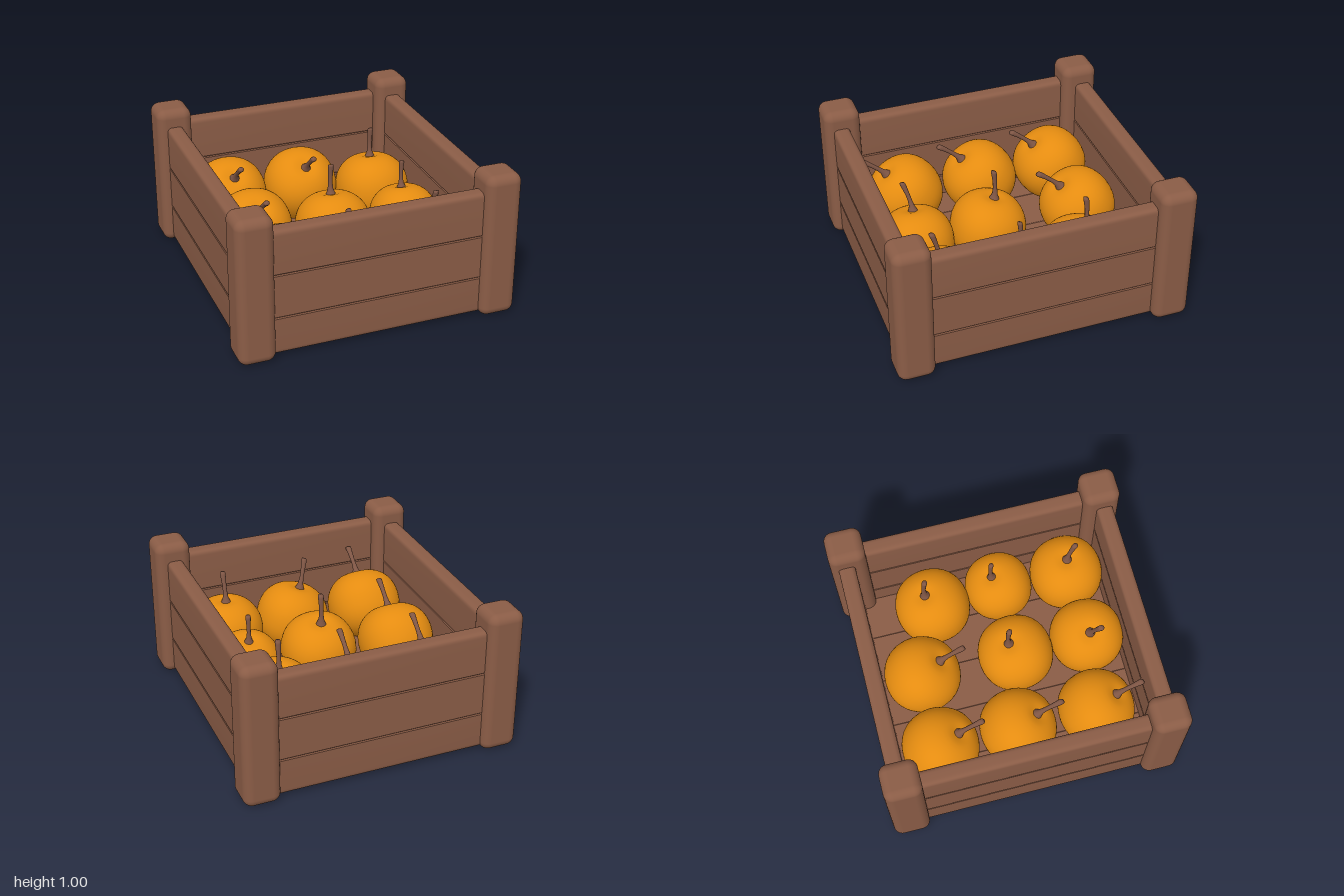
import * as THREE from 'three';
import { mergeVertices, toCreasedNormals } from 'three/addons/utils/BufferGeometryUtils.js';
import { RoundedBoxGeometry } from 'three/addons/geometries/RoundedBoxGeometry.js';

const wood = new THREE.MeshStandardMaterial({ color: 0x8a5c46 });
const skin = new THREE.MeshStandardMaterial({ color: 0xe58c10 });
const stalk = new THREE.MeshStandardMaterial({ color: 0x7f5645 });

function add(parent, name, geometry, material, x = 0, y = 0, z = 0) {
  const mesh = new THREE.Mesh(geometry, material);
  mesh.name = name;
  mesh.position.set(x, y, z);
  parent.add(mesh);
  return mesh;
}

// Wall section: rounded top and bottom, fine grooves between three planks
function wallGeometry(length) {
  const w = 0.056, r = 0.035, bottom = 0.02, top = 0.88, n = 0.007;
  const s = new THREE.Shape();
  s.moveTo(-w + r, bottom);
  s.lineTo(w - r, bottom);
  s.quadraticCurveTo(w, bottom, w, bottom + r);
  for (const y of [0.28, 0.58]) {
    s.lineTo(w, y - n);
    s.lineTo(w - n, y);
    s.lineTo(w, y + n);
  }
  s.lineTo(w, top - r);
  s.quadraticCurveTo(w, top, w - r, top);
  s.lineTo(-w + r, top);
  s.quadraticCurveTo(-w, top, -w, top - r);
  for (const y of [0.58, 0.28]) {
    s.lineTo(-w, y + n);
    s.lineTo(-w + n, y);
    s.lineTo(-w, y - n);
  }
  s.lineTo(-w, bottom + r);
  s.quadraticCurveTo(-w, bottom, -w + r, bottom);
  const g = new THREE.ExtrudeGeometry(s, { depth: length, bevelEnabled: false, curveSegments: 6 });
  g.translate(0, 0, -length / 2);
  return toCreasedNormals(g, 0.6);
}

// Squashed, slightly squarish ball with a dimple under the stalk
function pumpkinGeometry() {
  let g = new THREE.SphereGeometry(1, 40, 28);
  g.deleteAttribute('uv');
  g.deleteAttribute('normal');
  const p = g.attributes.position, v = new THREE.Vector3();
  for (let i = 0; i < p.count; i++) {
    v.fromBufferAttribute(p, i);
    const rho = Math.hypot(v.x, v.z), angle = Math.atan2(v.z, v.x);
    const radius = 0.26 * Math.pow(rho, 0.88) * (1 - 0.012 * Math.cos(4 * angle));
    const dimple = 0.025 * Math.exp(-Math.pow(radius / 0.06, 2));
    const y = Math.sign(v.y) * (0.24 * Math.pow(Math.abs(v.y), 0.92) - dimple * Math.abs(v.y));
    p.setXYZ(i, radius * Math.cos(angle), y, radius * Math.sin(angle));
  }
  g = mergeVertices(g, 1e-5);
  g.computeVertexNormals();
  return g;
}

// Flared stalk bending forward
function stalkGeometry() {
  const profile = [[0.042, -0.01], [0.03, 0.01], [0.019, 0.04], [0.015, 0.08], [0.015, 0.12],
    [0.017, 0.16], [0.02, 0.2], [0.018, 0.213], [0, 0.217]];
  const g = new THREE.LatheGeometry(profile.map(([x, y]) => new THREE.Vector2(x, y)), 14);
  const p = g.attributes.position;
  for (let i = 0; i < p.count; i++) {
    const t = Math.max(0, p.getY(i)) / 0.21;
    p.setZ(i, p.getZ(i) + 0.05 * Math.pow(t, 1.5));
  }
  g.computeVertexNormals();
  return g;
}

export function createModel() {
  const model = new THREE.Group();
  model.name = 'pumpkinCrate';

  // Corner posts
  const post = new RoundedBoxGeometry(0.245, 1, 0.25, 5, 0.06);
  for (const x of [-1, 1]) for (const z of [-1, 1]) {
    add(model, 'cornerPost', post, wood, x * 0.82, 0.5, z * 0.875);
  }

  // Walls
  const sideWall = wallGeometry(1.74), endWall = wallGeometry(1.62);
  add(model, 'rightWall', sideWall, wood, -0.823, 0, 0);
  add(model, 'leftWall', sideWall, wood, 0.814, 0, 0);
  add(model, 'frontWall', endWall, wood, 0, 0, 0.888).rotation.y = Math.PI / 2;
  add(model, 'backWall', endWall, wood, 0, 0, -0.892).rotation.y = Math.PI / 2;

  // Floor planks
  const seams = [-0.83, -0.535, -0.2, 0.135, 0.465, 0.82];
  for (let i = 0; i < seams.length - 1; i++) {
    const g = new RoundedBoxGeometry(seams[i + 1] - seams[i], 0.08, 1.74, 2, 0.006);
    add(model, 'floorPlank', g, wood, (seams[i] + seams[i + 1]) / 2, 0.08, 0);
  }

  // Pumpkins: x, y, z, forward tilt, sideways tilt, size
  const body = pumpkinGeometry(), stem = stalkGeometry();
  const layout = [
    [-0.505, 0.4, -0.565, 0.63, 0, 1],
    [-0.505, 0.4, -0.03, 0.63, 0, 1],
    [-0.505, 0.4, 0.515, 0.63, 0, 1],
    [0.02, 0.39, -0.565, 0.63, 0, 1],
    [0.02, 0.37, 0.09, -0.22, 0, 1],
    [0.02, 0.37, 0.595, 0, 0.28, 0.98],
    [0.5, 0.37, -0.38, -0.2, 0, 1],
    [0.535, 0.36, 0.1, -0.24, 0, 0.9],
    [0.515, 0.37, 0.585, 0, 0, 0.98],
  ];
  for (const [x, y, z, forward, sideways, size] of layout) {
    const pumpkin = new THREE.Group();
    pumpkin.name = 'pumpkin';
    add(pumpkin, 'pumpkinBody', body, skin);
    add(pumpkin, 'pumpkinStalk', stem, stalk, 0, 0.217, 0);
    pumpkin.position.set(x, y, z);
    pumpkin.rotation.set(forward, 0, sideways);
    pumpkin.scale.setScalar(size);
    model.add(pumpkin);
  }
  return model;
}
